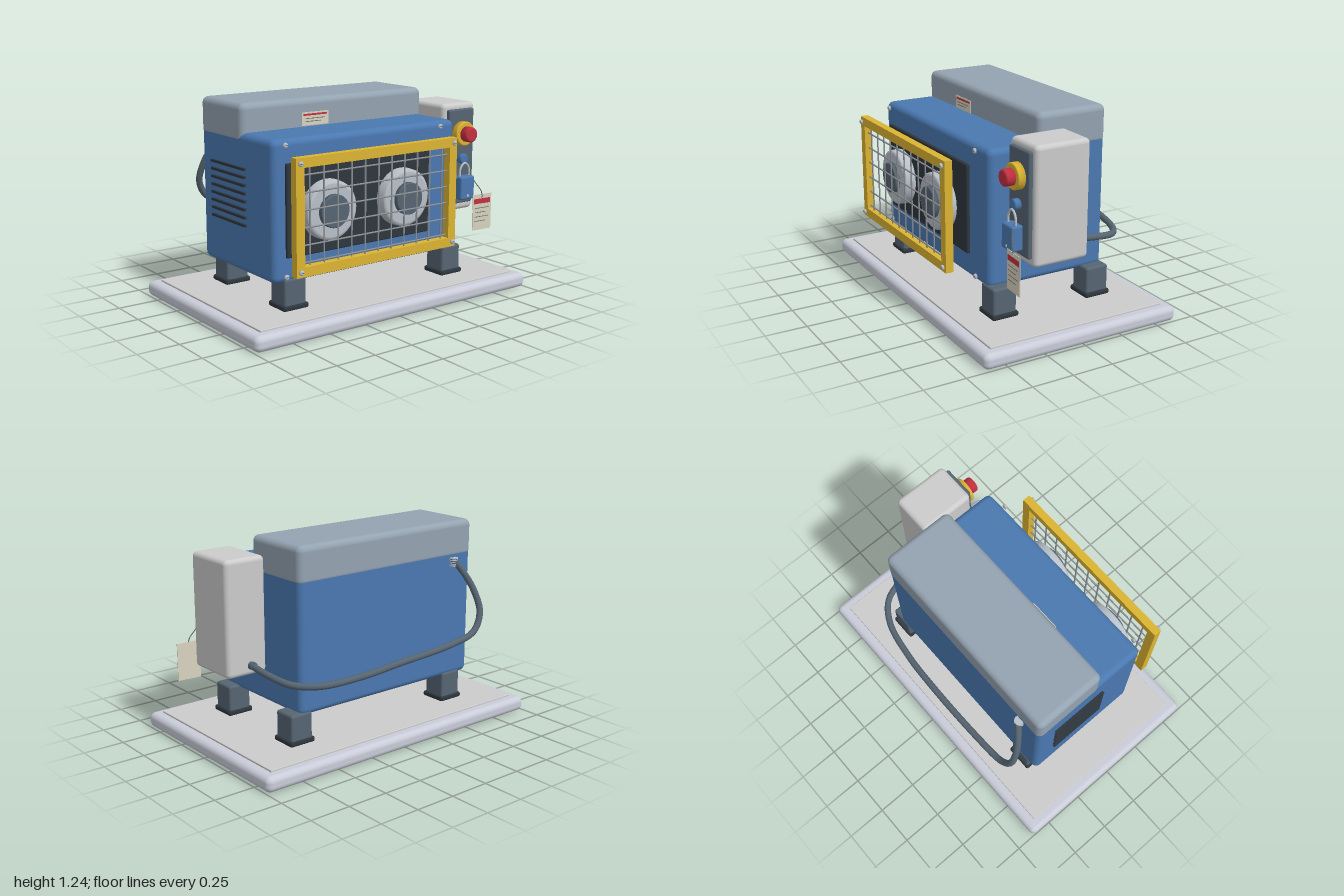
import * as THREE from 'three';
import { RoundedBoxGeometry } from 'three/addons/geometries/RoundedBoxGeometry.js';

const mat = (color, side = THREE.FrontSide) => new THREE.MeshStandardMaterial({ color, side });
const M = {
  blue: mat(0x4a78b0), hood: mat(0x94a3b1), base: mat(0xc9ccd8), grey: mat(0xd2d5d6),
  slate: mat(0x566572), dark: mat(0x2e363d), yellow: mat(0xdcb432), red: mat(0xc23040),
  steel: mat(0xb9c0c8), wire: mat(0x8d9298), paper: mat(0xd8d3bf), ink: mat(0x6b6b66),
};

export function createModel() {
  const root = new THREE.Group();
  const add = (name, geo, material, x = 0, y = 0, z = 0, parent = root) => {
    const m = new THREE.Mesh(geo, material);
    m.name = name;
    m.position.set(x, y, z);
    parent.add(m);
    return m;
  };
  // box given by its limits; r > 0 rounds the edges
  const box = (name, material, [x0, x1], [y0, y1], [z0, z1], r = 0, parent = root) => {
    const s = [x1 - x0, y1 - y0, z1 - z0];
    const g = r ? new RoundedBoxGeometry(...s, 4, r) : new THREE.BoxGeometry(...s);
    return add(name, g, material, (x0 + x1) / 2, (y0 + y1) / 2, (z0 + z1) / 2, parent);
  };
  // turned part whose axis points forwards; profile is [radius, z]
  const turned = (name, profile, material, x, y, z, seg = 40) => {
    const g = new THREE.LatheGeometry(profile.map(p => new THREE.Vector2(...p)), seg);
    g.rotateX(Math.PI / 2);
    return add(name, g, material, x, y, z);
  };
  // disc with a rounded front rim
  const button = (name, material, x, y, z0, z1, r, b = 0.008, seg = 32) => {
    const pts = [[0, z0], [r, z0]], n = 4;
    for (let i = 0; i <= n; i++) {
      const a = i / n * Math.PI / 2;
      pts.push([r - b + b * Math.cos(a), z1 - b + b * Math.sin(a)]);
    }
    pts.push([r - b, z1], [0, z1]);
    return turned(name, pts, material, x, y, 0, seg);
  };
  const tube = (name, pts, r, material, seg = 24) => add(name, new THREE.TubeGeometry(
    new THREE.CatmullRomCurve3(pts.map(p => new THREE.Vector3(...p))), seg, r, 12), material);

  // Base plate and inset mat
  box('basePlate', M.base, [-1, 1], [0, 0.092], [-0.635, 0.635], 0.035);
  box('baseMat', M.grey, [-0.935, 0.935], [0.08, 0.103], [-0.57, 0.57], 0.004);

  // Feet on rubber pads
  for (const x of [-0.585, 0.585]) for (const z of [-0.311, 0.315]) {
    box('foot', M.slate, [x - 0.073, x + 0.073], [0.108, 0.285], [z - 0.075, z + 0.075], 0.015);
    box('footPad', M.dark, [x - 0.085, x + 0.085], [0.1, 0.132], [z - 0.084, z + 0.084], 0.012);
  }

  // Housing and hood
  box('housing', M.blue, [-0.727, 0.593], [0.263, 1.074], [-0.383, 0.385], 0.038);
  box('hood', M.hood, [-0.729, 0.595], [1.012, 1.24], [-0.385, 0.072], 0.038);
  box('frontPanel', M.dark, [-0.647, 0.378], [0.41, 0.942], [0.37, 0.404], 0.008);

  // Side louvres
  for (let i = 0; i < 8; i++) {
    const y = 0.55 + i * 0.0465;
    box('louvre', M.dark, [-0.743, -0.72], [y - 0.007, y + 0.007], [-0.255, 0.11]);
  }

  // Rollers with hubs
  for (const x of [-0.405, 0.128]) {
    const rim = [[0, 0.4], [0.095, 0.4], [0.095, 0.418], [0.152, 0.418]];
    for (let i = 0; i <= 6; i++) {
      const a = (i / 6 - 0.5) * Math.PI / 2 * 2;
      rim.push([0.152 + 0.02 * Math.cos(a), (a > 0 ? 0.477 : 0.438) + 0.02 * Math.sin(a)]);
    }
    rim.push([0.152, 0.497], [0.152, 0.497], [0.09, 0.497], [0, 0.497]);
    turned('roller', rim, M.steel, x, 0.668, 0, 48);
    button('rollerHub', M.slate, x, 0.668, 0.49, 0.526, 0.095, 0.006, 40);
  }

  // Guard frame with wire mesh
  const rect = (P, x0, x1, y0, y1) => {
    const p = new P();
    p.moveTo(x0, y0); p.lineTo(x1, y0); p.lineTo(x1, y1); p.lineTo(x0, y1); p.closePath();
    return p;
  };
  const frame = rect(THREE.Shape, -0.702, 0.442, 0.347, 1.004);
  frame.holes.push(rect(THREE.Path, -0.647, 0.387, 0.402, 0.949));
  add('guardFrame', new THREE.ExtrudeGeometry(frame, { depth: 0.048, bevelEnabled: false }), M.yellow, 0, 0, 0.526);
  for (let i = 0; i < 11; i++)
    add('guardWire', new THREE.CylinderGeometry(0.005, 0.005, 0.56, 8), M.wire, -0.598 + i * 0.0945, 0.675, 0.55);
  for (let i = 0; i < 6; i++)
    add('guardWire', new THREE.CylinderGeometry(0.005, 0.005, 1.05, 8).rotateZ(Math.PI / 2), M.wire, -0.13, 0.42 + i * 0.097, 0.55);

  // Screws on guard and housing
  const screws = (xs, ys, z) => {
    for (const x of xs) for (const y of ys) {
      button('screw', M.steel, x, y, z, z + 0.014, 0.015, 0.007, 16);
      box('screwSlot', M.ink, [x - 0.009, x + 0.009], [y - 0.002, y + 0.002], [z + 0.01, z + 0.0148]);
    }
  };
  screws([-0.675, 0.416], [0.377, 0.974], 0.577);
  screws([-0.65, 0.465], [0.303, 1.045], 0.394);

  // Control box
  box('controlBox', M.grey, [0.61, 0.877], [0.463, 1.149], [-0.088, 0.262], 0.028);
  box('controlPlate', M.slate, [0.642, 0.848], [0.512, 1.113], [0.25, 0.286], 0.01);
  button('stopCollar', M.yellow, 0.743, 0.963, 0.28, 0.33, 0.076);
  button('stopButton', M.red, 0.743, 0.963, 0.325, 0.386, 0.048, 0.012);
  button('selectorKnob', M.blue, 0.743, 0.803, 0.28, 0.323, 0.032);

  // Padlock and its shackle
  box('padlock', M.blue, [0.685, 0.8], [0.55, 0.697], [0.287, 0.36], 0.012);
  tube('shackle', [[0.705, 0.68, 0.325], [0.705, 0.735, 0.325], [0.72, 0.765, 0.325], [0.743, 0.778, 0.325],
    [0.766, 0.765, 0.325], [0.781, 0.735, 0.325], [0.781, 0.68, 0.325]], 0.007, M.steel);
  button('keyhole', M.steel, 0.743, 0.575, 0.355, 0.363, 0.009, 0.002, 16);

  // Plain cards with a red band and printed rules
  const card = (name, w, h, lines) => {
    const g = new THREE.Group();
    g.name = name;
    root.add(g);
    box('cardSheet', M.paper, [-w / 2, w / 2], [-h / 2, h / 2], [-0.002, 0.002], 0, g);
    const top = h / 2 - 0.12 * h, band = h * 0.14;
    box('cardBand', M.red, [-w * 0.44, w * 0.44], [top - band, top], [0.001, 0.003], 0, g);
    for (let i = 0; i < lines; i++) {
      const y = top - band - (i + 1) * 0.55 * h / (lines + 0.5);
      box('cardRule', M.ink, [-w * 0.38, w * (i % 2 ? 0.2 : 0.36)], [y - 0.002, y + 0.002], [0.001, 0.003], 0, g);
    }
    return g;
  };
  card('warningLabel', 0.19, 0.078, 2).position.set(-0.235, 1.121, 0.09);
  const tag = card('hangTag', 0.15, 0.23, 4);
  tag.position.set(0.85, 0.46, 0.378);
  tag.rotation.y = -0.06;
  tube('tagString', [[0.781, 0.715, 0.332], [0.805, 0.65, 0.362], [0.84, 0.6, 0.376], [0.85, 0.56, 0.382]], 0.003, M.ink, 16);
  add('tagEyelet', new THREE.TorusGeometry(0.008, 0.003, 8, 16), M.steel, 0.85, 0.56, 0.381);

  // Hose looping behind the housing
  tube('hose', [[0.72, 0.523, -0.09], [0.713, 0.502, -0.24], [0.665, 0.477, -0.4], [0.54, 0.467, -0.49],
    [0.3, 0.48, -0.54], [0, 0.51, -0.56], [-0.4, 0.54, -0.562], [-0.6, 0.585, -0.555], [-0.668, 0.69, -0.535],
    [-0.66, 0.82, -0.485], [-0.615, 0.93, -0.435], [-0.572, 1.0, -0.4]], 0.02, M.slate, 120);
  add('hoseSocket', new THREE.CylinderGeometry(0.024, 0.024, 0.035, 24).rotateX(Math.PI / 2), M.slate, 0.72, 0.523, -0.1);
  for (let i = 0; i < 5; i++)
    add('hoseGlandRib', new THREE.CylinderGeometry(0.028, 0.028, 0.005, 24), M.steel, -0.572, 0.97 + i * 0.0115, -0.392);
  add('hoseGland', new THREE.CylinderGeometry(0.021, 0.021, 0.05, 24), M.slate, -0.572, 0.993, -0.392);

  return root;
}
